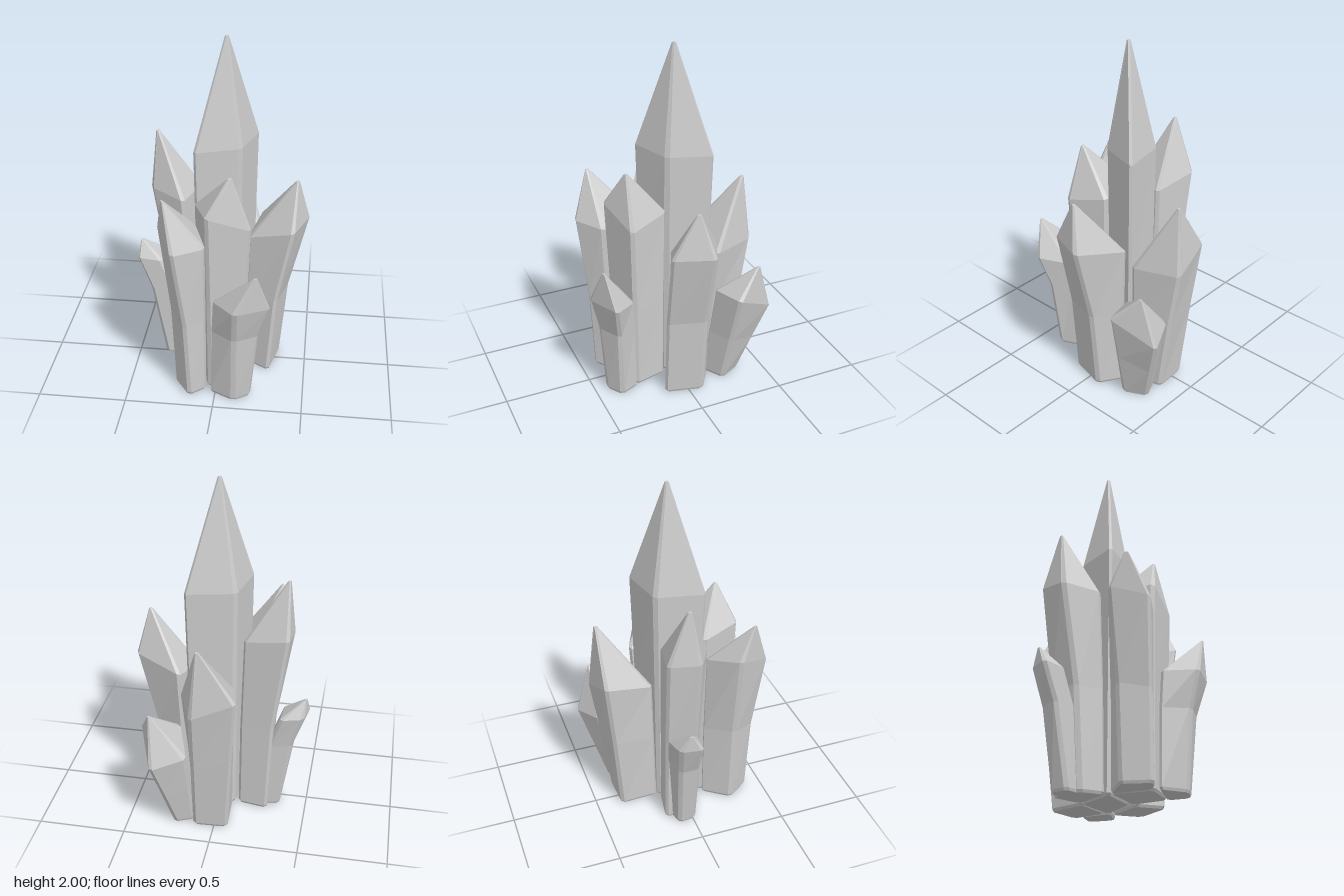
import * as THREE from 'three';

const material = new THREE.MeshStandardMaterial({ color: 0xcccccc, flatShading: true });

// Each crystal: four base corners [x, z], four shoulder corners [x, y, z], tip,
// and a bend: fraction of height, fraction of outward lean reached there.
const crystals = {
  mainCrystal: {
    base: [[-0.08, -0.13], [0.17, -0.17], [0.1, 0.05], [-0.13, 0.11]],
    shoulder: [[-0.09, 1.4, -0.14], [0.19, 1.4, -0.2], [0.11, 1.4, 0.05], [-0.145, 1.4, 0.14]],
    tip: [0.02, 2, -0.03], bend: [0.5, 0.5],
  },
  backCrystal: {
    base: [[-0.08, -0.36], [0.12, -0.37], [0.15, -0.17], [-0.07, -0.13]],
    shoulder: [[-0.14, 0.9, -0.44], [0.11, 0.8, -0.48], [0.21, 0.8, -0.22], [-0.08, 0.82, -0.15]],
    tip: [0.07, 1.19, -0.43], bend: [0.55, 0.5],
  },
  backLeftCrystal: {
    base: [[0.12, -0.32], [0.23, -0.37], [0.3, -0.23], [0.17, -0.15]],
    shoulder: [[0.14, 0.5, -0.42], [0.33, 0.46, -0.51], [0.43, 0.6, -0.26], [0.22, 0.58, -0.2]],
    tip: [0.35, 0.75, -0.41], bend: [0.5, 0.48],
  },
  leftCrystal: {
    base: [[0.2, -0.17], [0.345, -0.08], [0.29, 0.14], [0.14, 0.05]],
    shoulder: [[0.22, 0.9, -0.2], [0.495, 0.95, -0.075], [0.41, 0.95, 0.155], [0.15, 0.85, 0.04]],
    tip: [0.42, 1.2, 0], bend: [0.52, 0.28],
  },
  frontCrystal: {
    base: [[-0.13, 0.12], [0.11, 0.06], [0.16, 0.26], [-0.04, 0.33]],
    shoulder: [[-0.14, 1.1, 0.13], [0.11, 1.08, 0.05], [0.19, 1.03, 0.285], [-0.05, 1.13, 0.365]],
    tip: [0.07, 1.33, 0.27], bend: [0.5, 0.4],
  },
  frontLeftCrystal: {
    base: [[-0.04, 0.36], [0.16, 0.25], [0.21, 0.37], [0.11, 0.435]],
    shoulder: [[-0.02, 0.63, 0.37], [0.19, 0.6, 0.28], [0.315, 0.64, 0.425], [0.12, 0.64, 0.52]],
    tip: [0.23, 0.85, 0.47], bend: [0.68, 0.4],
  },
  frontRightCrystal: {
    base: [[-0.245, 0.28], [-0.13, 0.12], [-0.05, 0.34], [-0.145, 0.42]],
    shoulder: [[-0.325, 1.04, 0.28], [-0.14, 0.98, 0.13], [-0.05, 0.95, 0.36], [-0.22, 0.96, 0.48]],
    tip: [-0.28, 1.23, 0.37], bend: [0.5, 0.25],
  },
  rightCrystal: {
    base: [[-0.28, -0.15], [-0.1, -0.12], [-0.14, 0.1], [-0.27, 0.04]],
    shoulder: [[-0.38, 1.15, -0.17], [-0.12, 1.1, -0.12], [-0.2, 1.1, 0.125], [-0.395, 1.13, 0.02]],
    tip: [-0.36, 1.45, -0.04], bend: [0.5, 0.25],
  },
  farRightCrystal: {
    base: [[-0.35, -0.09], [-0.2, -0.12], [-0.2, 0.02], [-0.34, 0.02]],
    shoulder: [[-0.47, 0.64, -0.125], [-0.34, 0.64, -0.16], [-0.35, 0.64, 0.01], [-0.5, 0.65, 0]],
    tip: [-0.48, 0.74, -0.065], bend: [0.69, 0.5],
  },
};

// Cuts every corner of a quad, giving an eight-sided ring
function chamfer(quad, width) {
  return quad.flatMap((corner, i) =>
    [quad[(i + 3) % 4], quad[(i + 1) % 4]].map((other) => {
      const t = Math.min(0.4, width / corner.distanceTo(other));
      return corner.clone().lerp(other, t);
    }));
}

function crystalGeometry({ base, shoulder, tip, bend }) {
  const foot = base.map(([x, z]) => new THREE.Vector3(x, 0, z));
  const top = shoulder.map((p) => new THREE.Vector3(...p));
  const peak = new THREE.Vector3(...tip);
  const centre = foot.reduce((s, p) => s.add(p), new THREE.Vector3()).divideScalar(4);

  const sole = foot.map((p) => p.clone().lerp(centre, 0.07));
  const rim = foot.map((p) => p.clone().setY(0.015));
  const middle = foot.map((p, i) => p.clone().lerp(top[i], bend[1]).setY(top[i].y * bend[0]));
  // Small blunt facet at the peak
  const blunt = top.map((p) => {
    const d = p.clone().sub(peak).setY(0).setLength(0.014);
    return peak.clone().add(d);
  });

  const rings = [[sole, 0.018], [rim, 0.018], [middle, 0.018], [top, 0.018], [blunt, 0.007]]
    .map(([quad, width]) => chamfer(quad, width));
  const positions = rings.flat().flatMap((p) => p.toArray());
  const index = [];
  for (let r = 0; r < rings.length - 1; r++) {
    for (let i = 0; i < 8; i++) {
      const a = r * 8 + i, b = r * 8 + (i + 1) % 8;
      index.push(a, a + 8, b, b, a + 8, b + 8);
    }
  }
  // Bottom and peak caps
  const last = (rings.length - 1) * 8;
  for (let i = 1; i < 7; i++) {
    index.push(0, i, i + 1, last, last + i + 1, last + i);
  }
  const indexed = new THREE.BufferGeometry();
  indexed.setAttribute('position', new THREE.Float32BufferAttribute(positions, 3));
  indexed.setIndex(index);
  const geometry = indexed.toNonIndexed();
  geometry.computeVertexNormals();
  return geometry;
}

export function createModel() {
  const group = new THREE.Group();
  group.name = 'crystalCluster';
  for (const [name, spec] of Object.entries(crystals)) {
    const mesh = new THREE.Mesh(crystalGeometry(spec), material);
    mesh.name = name;
    group.add(mesh);
  }
  return group;
}
